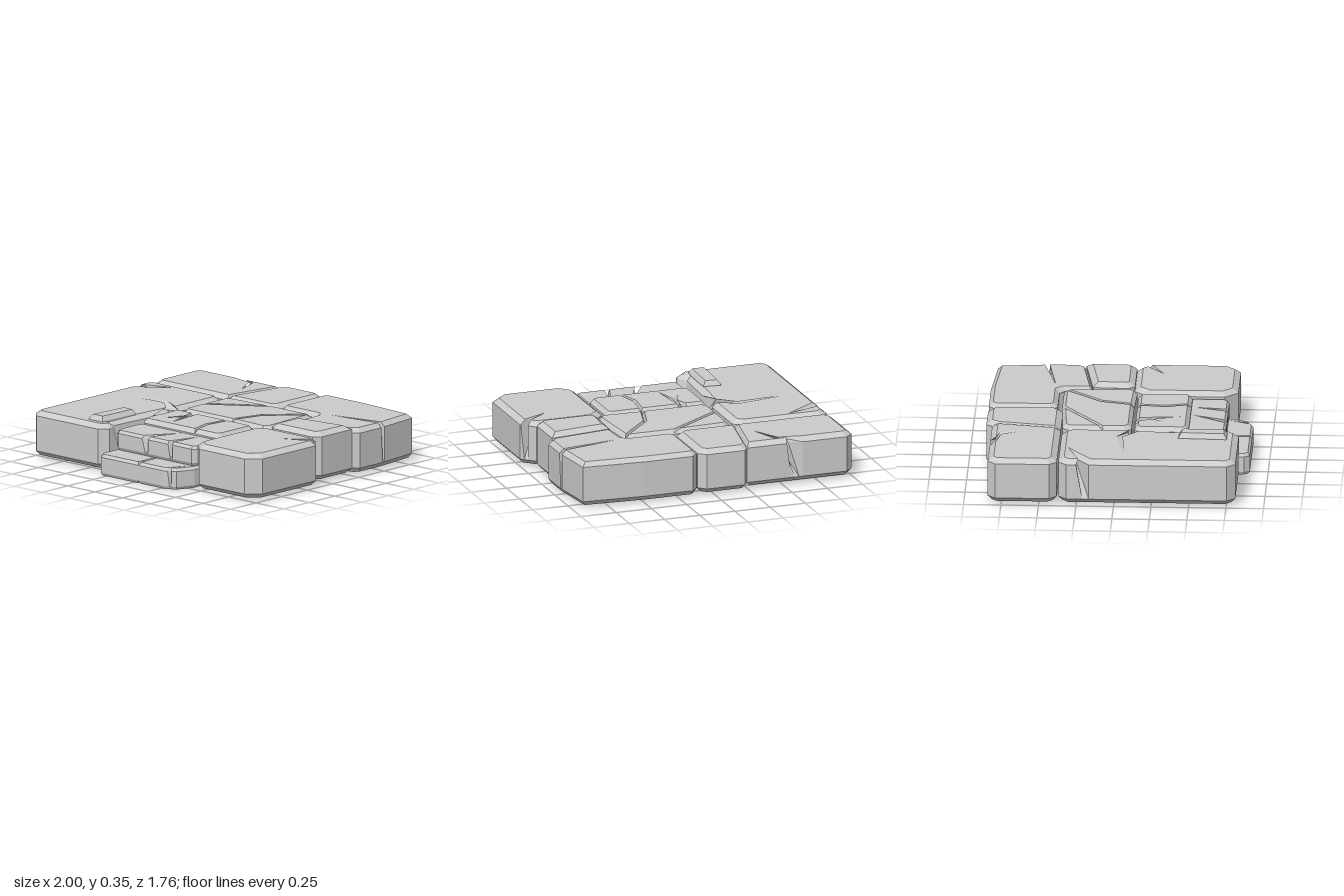
import * as THREE from 'three';

const mat = new THREE.MeshStandardMaterial({ color: 0xcccccc, flatShading: true, side: THREE.DoubleSide });
const lerp = (p, q, t) => [p[0] + (q[0] - p[0]) * t, p[1] + (q[1] - p[1]) * t];

// Shrinks an outline of [x, z, edgeInset?]; each edge may have its own inset
function inset(pts, bevel) {
  const n = pts.length;
  const lines = pts.map((p, i) => {
    const q = pts[(i + 1) % n], dx = q[0] - p[0], dz = q[1] - p[1], l = Math.hypot(dx, dz);
    const b = p[2] ?? bevel;
    return { x: p[0] - dz / l * b, z: p[1] + dx / l * b, dx: dx / l, dz: dz / l };
  });
  return lines.map((B, i) => {
    const A = lines[(i + n - 1) % n];
    const t = ((B.x - A.x) * B.dz - (B.z - A.z) * B.dx) / (A.dx * B.dz - A.dz * B.dx);
    return [A.x + A.dx * t, A.z + A.dz * t];
  });
}

// Adds chipped cracks to a ring: amount 1 cuts to the full path, 0 stays on the edge
function addCracks(ring, cracks, amount) {
  const out = [];
  ring.forEach((p, i) => {
    out.push(p);
    const q = ring[(i + 1) % ring.length];
    for (const { edge, from, to, path } of cracks) {
      if (edge !== i) continue;
      const a = lerp(p, q, from), b = lerp(p, q, to);
      out.push(a, ...path.map((c, k) => lerp(lerp(a, b, (k + 1) / (path.length + 1)), c, amount)), b);
    }
  });
  return out;
}

// Bevelled stone built from four rings, outline clockwise as seen from above
function stone(name, outline, { y0 = 0.02, y1 = 0.32, bevel = 0.04, rise = 0.03, cracks = [] } = {}) {
  const inner = inset(outline, bevel);
  const rings = [
    [inset(outline, bevel * 0.7), y0, 0], [outline, y0 + rise, 0], [outline, y1 - rise, 0.5], [inner, y1, 1],
  ].map(([ring, y, amount]) => addCracks(ring, cracks, amount).map(p => new THREE.Vector3(p[0], y, p[1])));
  const pos = [];
  const tri = (...vs) => vs.forEach(v => pos.push(v.x, v.y, v.z));
  for (let r = 0; r < 3; r++) {
    const L = rings[r], U = rings[r + 1];
    L.forEach((_, i) => {
      const j = (i + 1) % L.length;
      tri(L[i], U[i], U[j]);
      tri(L[i], U[j], L[j]);
    });
  }
  // Bottom and top caps
  for (const [ring, up] of [[rings[0], false], [rings[3], true]]) {
    const flat = ring.map(v => new THREE.Vector2(v.x, v.z));
    for (const [a, b, c] of THREE.ShapeUtils.triangulateShape(flat, [])) {
      const turn = (flat[b].x - flat[a].x) * (flat[c].y - flat[a].y) - (flat[b].y - flat[a].y) * (flat[c].x - flat[a].x);
      if ((turn < 0) === up) tri(ring[a], ring[b], ring[c]);
      else tri(ring[a], ring[c], ring[b]);
    }
  }
  const geo = new THREE.BufferGeometry();
  geo.setAttribute('position', new THREE.Float32BufferAttribute(pos, 3));
  geo.computeVertexNormals();
  const mesh = new THREE.Mesh(geo, mat);
  mesh.name = name;
  return mesh;
}

// Rectangle with cut corners; edges run back, corner, right, corner, front, corner, left, corner
const block = (x0, z0, x1, z1, c) => [
  [x0 + c, z0], [x1 - c, z0], [x1, z0 + c], [x1, z1 - c], [x1 - c, z1], [x0 + c, z1], [x0, z1 - c], [x0, z0 + c],
];

export function createModel() {
  const group = new THREE.Group();
  group.name = 'stonePaving';
  const K = 0.012; // narrow inset where a stone is split

  group.add(
    // Back row
    stone('backRightStone', [[-0.95, -0.84], [-0.24, -0.84, 0.02], [-0.32, -0.38], [-0.95, -0.38], [-1, -0.43], [-1, -0.79]], {
      cracks: [{ edge: 0, from: 0.44, to: 0.6, path: [[-0.48, -0.77], [-0.38, -0.59], [-0.45, -0.78]] }],
    }),
    stone('backMiddleStone', [[-0.24, -0.84], [-0.21, -0.88], [0.06, -0.88], [0.11, -0.83], [0.11, -0.43], [0.06, -0.38],
      [-0.32, -0.38, 0.02]]),
    stone('backLeftStone', [[0.12, -0.84], [0.16, -0.88], [0.5, -0.88], [0.93, -0.85], [0.97, -0.5], [0.97, -0.3],
      [0.93, -0.26, 0.02], [0.5, -0.2, 0.02], [0.49, -0.38], [0.45, -0.42], [0.16, -0.42], [0.12, -0.46]], {
      bevel: 0.03,
      cracks: [{ edge: 3, from: 0.88, to: 0.98, path: [[0.55, -0.45]] }],
    }),
    stone('raisedLeftStone', [[0.5, -0.2], [0.93, -0.26], [0.93, 0.03], [0.89, 0.08], [0.53, 0.08], [0.49, 0.04]], { y1: 0.345 }),

    // Large side stones
    stone('rightStone', block(-1, -0.37, -0.33, 0.81, 0.055), {
      cracks: [
        { edge: 2, from: 0.36, to: 0.98, path: [[-0.5, 0], [-0.85, 0.06], [-0.5, 0.04], [-0.385, 0.14], [-0.42, 0.7]] },
        { edge: 6, from: 0.86, to: 0.94, path: [[-0.73, -0.315]] },
      ],
    }),
    stone('raisedChip', [[-0.52, 0.41], [-0.4, 0.42], [-0.41, 0.735], [-0.535, 0.735]], { y0: 0.28, y1: 0.355, bevel: 0.02 }),
    stone('leftStone', block(0.415, 0.08, 1, 0.77, 0.085), {
      cracks: [{ edge: 1, from: 0.5, to: 0.95, path: [[0.79, 0.26]] }],
    }),

    // Centre stone, broken in three
    stone('centreCorner', [[-0.3, -0.33], [-0.26, -0.37], [0.12, -0.39, K], [-0.3, -0.1]], { bevel: 0.025 }),
    stone('centreMiddle', [[0.12, -0.39], [0.46, -0.39, K], [0.22, -0.13, K], [0.16, 0.09], [-0.26, 0.09], [-0.3, 0.05],
      [-0.3, -0.1, K]], { bevel: 0.025 }),
    stone('centreSide', [[0.46, -0.39], [0.49, 0.05], [0.45, 0.1], [0.16, 0.09, K], [0.22, -0.13, K]], { bevel: 0.025 }),

    // Top step, broken in two
    stone('topStepRight', [[-0.28, 0.11], [0.155, 0.11, K], [0.135, 0.3, K], [0.18, 0.47], [-0.28, 0.47], [-0.31, 0.44],
      [-0.31, 0.14]], {
      bevel: 0.025,
      cracks: [{
        edge: 0, from: 0.25, to: 0.39,
        path: [[-0.135, 0.22], [-0.2, 0.36], [-0.12, 0.25], [-0.08, 0.41], [-0.095, 0.25]],
      }],
    }),
    stone('topStepLeft', [[0.155, 0.11], [0.37, 0.11], [0.4, 0.14], [0.4, 0.44], [0.37, 0.47], [0.18, 0.47, K],
      [0.135, 0.3, K]], { bevel: 0.025 }),

    // Middle step
    stone('middleStep', block(-0.32, 0.44, 0.41, 0.715, 0.03), {
      y0: 0.145, y1: 0.28, bevel: 0.015, rise: 0.02,
      cracks: [
        { edge: 4, from: 0.26, to: 0.32, path: [[0.23, 0.49]] },
        { edge: 4, from: 0.59, to: 0.67, path: [[0.07, 0.49]] },
      ],
    }),

    // Bottom step, broken in two
    stone('bottomStepRight', [[-0.32, 0.47], [0.03, 0.47, K], [0.05, 0.88], [-0.29, 0.88], [-0.32, 0.84]],
      { y0: 0, y1: 0.145, bevel: 0.015, rise: 0.02 }),
    stone('bottomStepLeft', [[0.03, 0.47], [0.41, 0.47], [0.41, 0.72], [0.36, 0.84], [0.28, 0.88], [0.05, 0.88, K]], {
      y0: 0, y1: 0.145, bevel: 0.015, rise: 0.02,
      cracks: [{ edge: 3, from: 0.4, to: 0.7, path: [[0.36, 0.72]] }],
    }),
  );
  return group;
}
